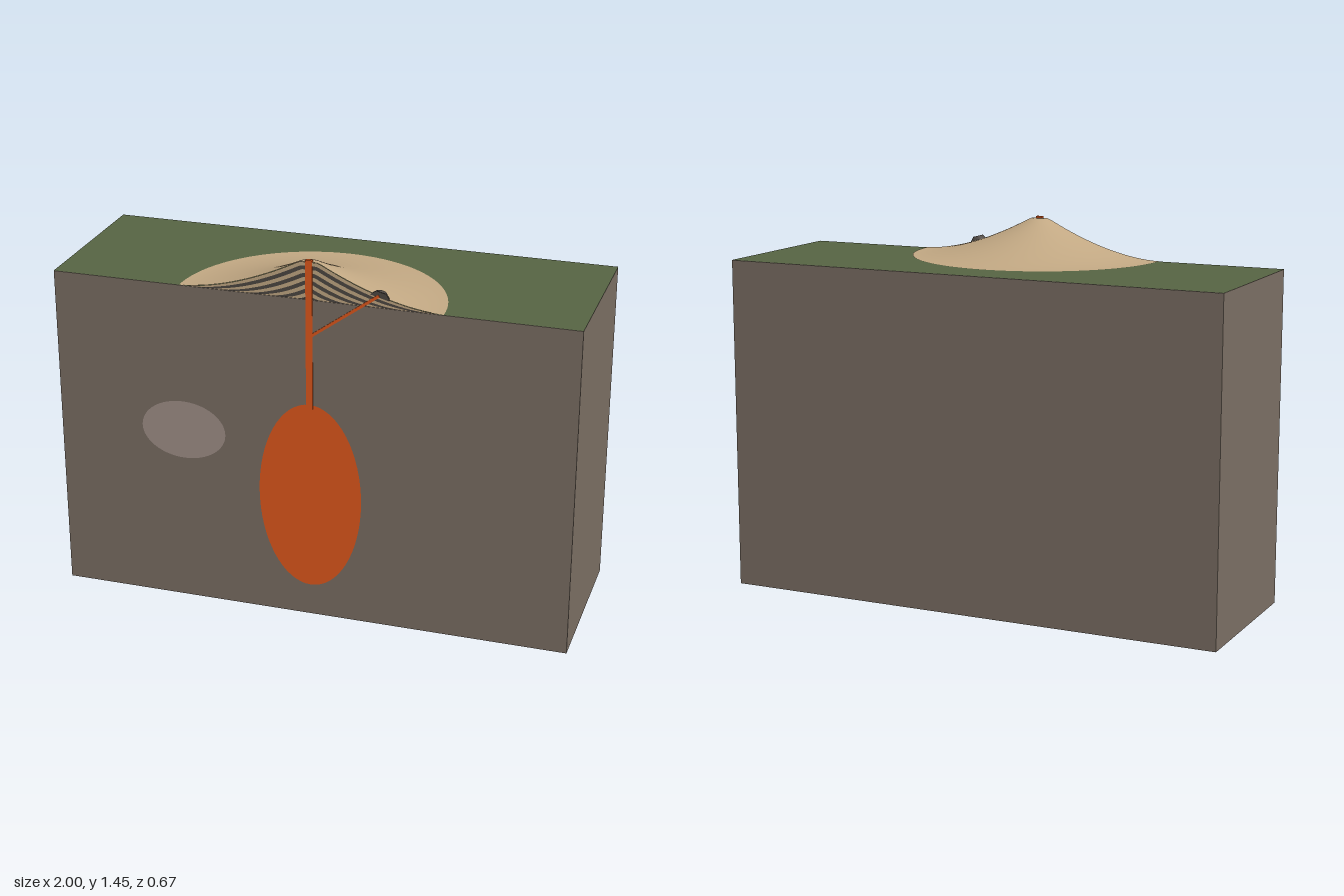
import * as THREE from 'three';

const W = 2, H = 1.295, D = 0.666, FRONT = D / 2;
const CONE_R = 0.5, CONE_H = 0.143, CRATER_R = 0.035;

const mat = (color) => new THREE.MeshStandardMaterial({ color, side: THREE.DoubleSide });

function add(group, name, geometry, material, x = 0, y = 0, z = 0) {
  const mesh = new THREE.Mesh(geometry, material);
  mesh.name = name;
  mesh.position.set(x, y, z);
  group.add(mesh);
  return mesh;
}

// Concave slope of the volcano, flattened at the summit
function slope(r) {
  const t = Math.max(r, CRATER_R);
  return CONE_H * Math.pow((CONE_R - t) / (CONE_R - CRATER_R), 1.75);
}

// Half profile from the foot to the summit
function profile(scale = 1, steps = 32) {
  const pts = [];
  for (let i = 0; i <= steps; i++) {
    const r = CONE_R * (1 - i / steps);
    pts.push(new THREE.Vector2(r * scale, slope(r) * scale));
  }
  return pts;
}

// Cut face of one layer: between its own profile and the one beneath
function layerShape(outer, inner) {
  const mirrored = (pts) => [...pts, ...pts.slice(0, -1).reverse().map((p) => new THREE.Vector2(-p.x, p.y))];
  const top = mirrored(profile(outer));
  const under = inner > 0 ? mirrored(profile(inner)).reverse() : [];
  return new THREE.Shape([...top, ...under]);
}

function ellipse(rx, ry) {
  return new THREE.ShapeGeometry(new THREE.Shape().absellipse(0, 0, rx, ry, 0, Math.PI * 2), 32);
}

export function createModel() {
  const model = new THREE.Group();
  model.name = 'volcanoCrossSection';
  const rock = mat(0x7a6e63), grass = mat(0x566443), ash = mat(0xc2a883);
  const darkLayer = mat(0x4d4742), magma = mat(0xe0581c), pluton = mat(0xa08f88);

  // Crust block with grass on top
  add(model, 'crustBlock', new THREE.BoxGeometry(W, H - 0.001, D), rock, 0, (H - 0.001) / 2, 0);
  const ground = add(model, 'grassTop', new THREE.PlaneGeometry(W, D), grass, 0, H, 0);
  ground.rotation.x = -Math.PI / 2;

  // Half cone, cut open at the front
  add(model, 'volcanoCone', new THREE.LatheGeometry(profile(), 48, Math.PI / 2, Math.PI), ash, 0, H + 0.001, FRONT);

  // Alternating ash and lava layers on the cut face
  const layers = new THREE.Group();
  layers.name = 'strata';
  const count = 10;
  for (let i = 1; i <= count; i++) {
    const geo = new THREE.ShapeGeometry(layerShape(i / count, (i - 1) / count));
    add(layers, 'layer' + i, geo, i % 2 ? darkLayer : ash, 0, H, FRONT);
  }
  model.add(layers);

  // Magma chamber and the solidified intrusion beside it
  add(model, 'magmaChamber', ellipse(0.2, 0.377), magma, 0, 0.504, FRONT + 0.002);
  add(model, 'intrusion', ellipse(0.167, 0.117), pluton, -0.5, 0.711, FRONT + 0.002);

  // Main conduit up to the crater
  const low = 0.865, high = 1.446;
  add(model, 'mainConduit', new THREE.BoxGeometry(0.026, high - low, 0.014), magma, 0, (low + high) / 2, FRONT - 0.004);

  // Side conduit branching to the flank vent
  const from = new THREE.Vector2(0, 1.15), to = new THREE.Vector2(0.262, 1.34);
  const run = to.clone().sub(from);
  const branch = add(model, 'sideConduit', new THREE.BoxGeometry(run.length(), 0.011, 0.006), magma,
    (from.x + to.x) / 2, (from.y + to.y) / 2, FRONT);
  branch.rotation.z = run.angle();

  // Small half vent on the right flank, tilted with the slope
  const vent = add(model, 'flankVent',
    new THREE.CylinderGeometry(0.02, 0.038, 0.022, 16, 1, false, Math.PI / 2, Math.PI),
    darkLayer, 0.268, H + slope(0.268) + 0.006, FRONT);
  vent.rotation.z = -0.26;
  const face = new THREE.Shape([[-0.038, -0.011], [0.038, -0.011], [0.02, 0.011], [-0.02, 0.011]]
    .map(([x, y]) => new THREE.Vector2(x, y)));
  add(vent, 'flankVentFace', new THREE.ShapeGeometry(face), darkLayer, 0, 0, 0.001);

  return model;
}
